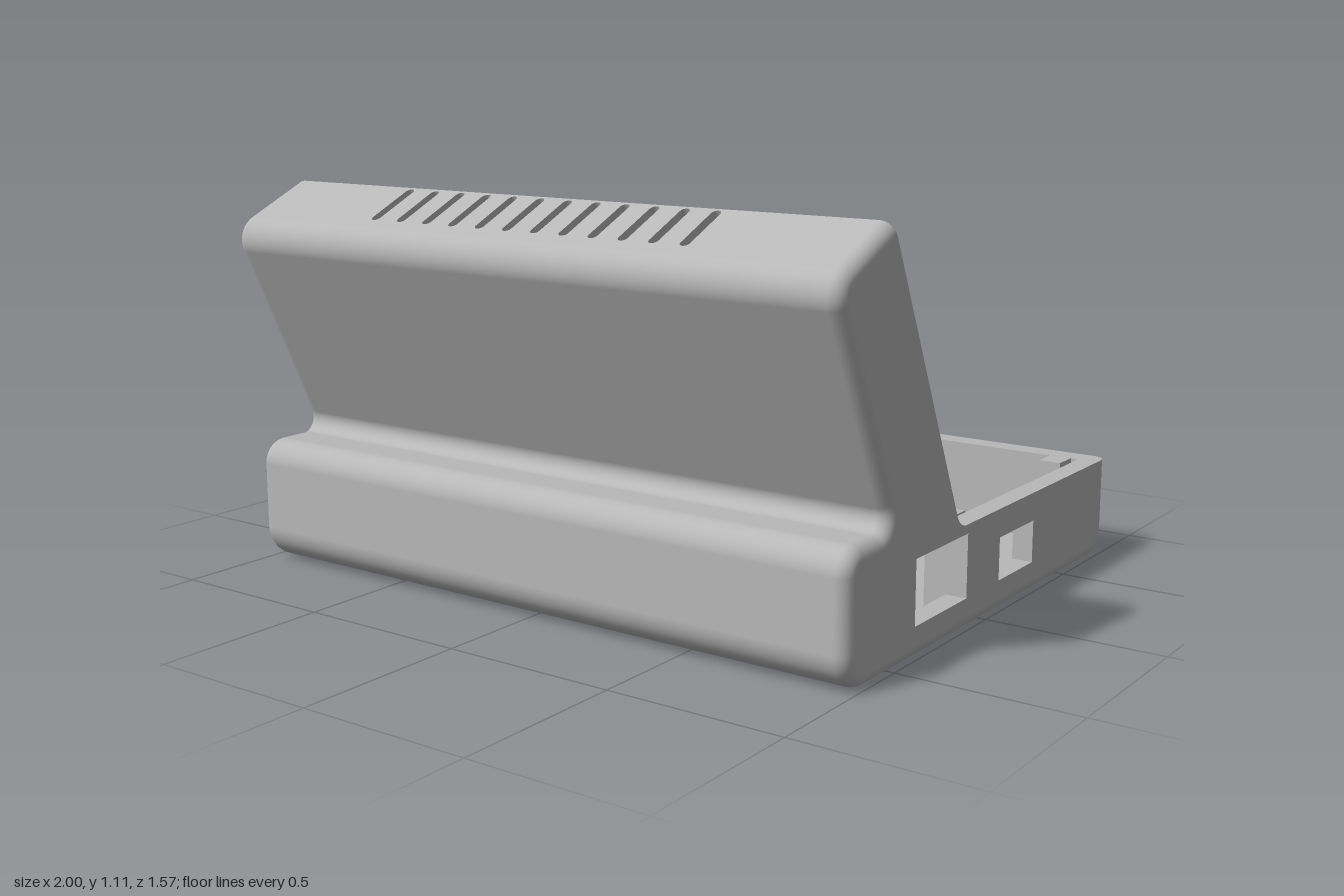
import * as THREE from 'three';

const V2 = (z, y) => new THREE.Vector2(z, y); // profiles are drawn in (z, y)
const tilt = THREE.MathUtils.degToRad(25);
const U = V2(Math.sin(tilt), Math.cos(tilt)); // up along the leaning panel
const F = V2(Math.cos(tilt), -Math.sin(tilt)); // across the panel, to the front
const at = (p, a, b) => p.clone().addScaledVector(F, a).addScaledVector(U, b);

const TOP = V2(0.55, 1.11); // upper rim edge
const BACK = V2(-0.785, 0.29); // back rim edge
const R = 0.04; // rounding of the side edges
const WALL = 0.08; // top wall thickness
const FLAT = 0.21; // flat width of the top wall
const XL = -0.955, XR = 0.94; // inner faces of the side walls
const FLOOR = 0.03;

// Rounds the corners [z, y, radius] of a path; returns points p with normals n
function fillet(corners) {
  const P = corners.map(c => V2(c[0], c[1]));
  const out = [];
  const left = d => V2(-d.y, d.x);
  P.forEach((p, i) => {
    const d1 = i > 0 ? p.clone().sub(P[i - 1]).normalize() : null;
    const d2 = i < P.length - 1 ? P[i + 1].clone().sub(p).normalize() : null;
    if (!d1 || !d2) return out.push({ p, n: left(d1 || d2) });
    const r = corners[i][2], turn = Math.atan2(d1.cross(d2), d1.dot(d2));
    const side = turn < 0 ? r : -r, n1 = left(d1);
    const start = p.clone().addScaledVector(d1, -r * Math.tan(Math.abs(turn) / 2));
    const centre = start.addScaledVector(n1, -side);
    for (let k = 0; k <= 10; k++) {
      const n = n1.clone().rotateAround(V2(0, 0), turn * k / 10);
      out.push({ p: centre.clone().addScaledVector(n, side), n });
    }
  });
  return out;
}

// Surface through rows of 3D points; flat shaded unless normals are given
function loft(rows, normals) {
  const w = rows[0].length, index = [];
  for (let i = 0; i < rows.length - 1; i++)
    for (let j = 0; j < w - 1; j++) {
      const a = i * w + j, b = a + 1, c = a + w, d = c + 1;
      index.push(a, b, c, b, d, c);
    }
  const flat = a => new THREE.Float32BufferAttribute(a.flat().flatMap(v => v.toArray()), 3);
  let g = new THREE.BufferGeometry();
  g.setAttribute('position', flat(rows));
  g.setIndex(index);
  if (normals) g.setAttribute('normal', flat(normals));
  else {
    g = g.toNonIndexed();
    g.computeVertexNormals();
  }
  return g;
}

const on = (x, p) => new THREE.Vector3(x, p.y, p.x);
const rect = (z0, z1, y0, y1) => [V2(z0, y0), V2(z1, y0), V2(z1, y1), V2(z0, y1)];

export function createModel() {
  const group = new THREE.Group();
  const grey = new THREE.MeshStandardMaterial({ color: 0xb8b8b8 });
  grey.name = 'light grey plastic';
  const add = (name, geometry) => {
    const mesh = new THREE.Mesh(geometry, grey);
    mesh.name = name;
    group.add(mesh);
    return mesh;
  };

  // Outer profile from the upper rim over the front and base to the back rim
  const peak = at(TOP, 0.285, 0);
  const shelf = at(peak, 0, (0.36 - peak.y) / U.y);
  const outer = fillet([
    [TOP.x, TOP.y], [peak.x, peak.y, 0.075], [shelf.x, shelf.y, 0.04],
    [0.73, 0.36, 0.07], [0.73, 0, 0.1], [-0.785, 0, 0.08], [BACK.x, BACK.y],
  ]);
  const bend = at(TOP, 0, (0.29 - TOP.y) / U.y);
  const rim = fillet([[BACK.x, BACK.y], [bend.x, bend.y, 0.06], [TOP.x, TOP.y]]);
  const inset = (o, d) => o.p.clone().addScaledVector(o.n, -d);

  // Stations across the width: position, inset of the profile, edge angle
  const right = [];
  for (let k = 0; k <= 7; k++) {
    const a = k / 7 * Math.PI / 2;
    right.push({ x: 1 - R + R * Math.sin(a), d: R * (1 - Math.cos(a)), a });
  }
  const left = right.map(s => ({ x: -s.x, d: s.d, a: -s.a })).reverse();
  const all = [...left, ...right];

  const skin = (stations, pts) => loft(
    stations.map(s => pts.map(o => on(s.x, inset(o, s.d)))),
    stations.map(s => pts.map(o =>
      on(0, o.n).multiplyScalar(Math.cos(s.a)).setX(Math.sin(s.a)))));
  add('outerShell', skin(all, outer.slice(1)));
  add('topWallEndRight', skin([{ x: XR, d: 0, a: 0 }, ...right], outer.slice(0, 2)));
  add('topWallEndLeft', skin([...left, { x: XL, d: 0, a: 0 }], outer.slice(0, 2)));

  // Flat rims along the back of the tray and the top of the panel
  add('backRim', loft(all.map(s =>
    [on(s.x, V2(BACK.x + s.d, 0.29)), on(s.x, V2(-0.715, 0.29))])));
  add('topRim', loft(all.map(s =>
    [on(s.x, at(TOP, 0, -WALL)), on(s.x, at(TOP, 0, -s.d))])));

  // Inner faces: back wall, floor, front pocket, ledge and leaning panel
  const panelTop = at(TOP, 0.258, -WALL);
  const inner = [
    V2(-0.715, 0.29), V2(-0.715, FLOOR), V2(0.65, FLOOR), V2(0.65, 0.2),
    at(panelTop, 0, (0.2 - panelTop.y) / U.y), panelTop, at(TOP, FLAT, -WALL),
  ];
  add('innerShell', loft([XL, XR].map(x => inner.map(p => on(x, p)))));

  // Side walls with port openings; the outer layer fits inside the rounded edge
  const sideWall = (name, x0, x1, d, holes) => {
    const ends = rim.slice(1, -1).map(o => o.p);
    const shape = new THREE.Shape([...outer.map(o => inset(o, d)), ...ends]);
    shape.holes = holes.map(h => new THREE.Path(rect(...h)));
    const g = new THREE.ExtrudeGeometry(shape, { depth: x1 - x0, bevelEnabled: false });
    add(name, g.rotateY(-Math.PI / 2).translate(x1, 0, 0));
  };
  const ports = [[0.12, 0.4, 0.09, 0.265], [-0.28, -0.07, 0.09, 0.21]];
  const cardSlot = [[-0.59, 0.03, 0.09, 0.155]];
  sideWall('portWallInner', XR, 0.968, 0.003, ports);
  sideWall('portWallOuter', 0.965, 1, R, ports);
  sideWall('slotWallInner', -0.968, XL, 0.003, cardSlot);
  sideWall('slotWallOuter', -1, -0.965, R, cardSlot);

  // Top wall with a row of rounded vent slots
  const plate = new THREE.Shape([V2(XL, -FLAT), V2(XR, -FLAT), V2(XR, 0), V2(XL, 0)]);
  const r = 0.014;
  for (let i = 0; i < 12; i++) {
    const x = -0.52 + i * 0.094;
    const slot = new THREE.Path();
    slot.absarc(x, -0.008 - r, r, 0, Math.PI, false);
    slot.absarc(x, -0.178 + r, r, Math.PI, 2 * Math.PI, false);
    slot.closePath();
    plate.holes.push(slot);
  }
  const vent = new THREE.ExtrudeGeometry(plate,
    { depth: WALL, bevelEnabled: false, curveSegments: 6 });
  vent.applyMatrix4(new THREE.Matrix4().makeBasis(
    new THREE.Vector3(1, 0, 0), on(0, F).negate(), on(0, U))
    .setPosition(on(0, at(TOP, 0, -WALL))));
  add('ventedTopWall', vent);

  // Support posts: x and z ranges
  const posts = [
    [-0.95, -0.85, -0.7, -0.635], [-0.075, 0.02, -0.67, -0.61],
    [0.86, 0.925, -0.7, -0.62], [-0.935, -0.855, 0, 0.075], [0.86, 0.94, 0.02, 0.09],
  ];
  for (const [x0, x1, z0, z1] of posts) {
    const h = 0.295 - FLOOR;
    add('supportPost', new THREE.BoxGeometry(x1 - x0, h, z1 - z0))
      .position.set((x0 + x1) / 2, FLOOR + h / 2, (z0 + z1) / 2);
  }
  return group;
}
